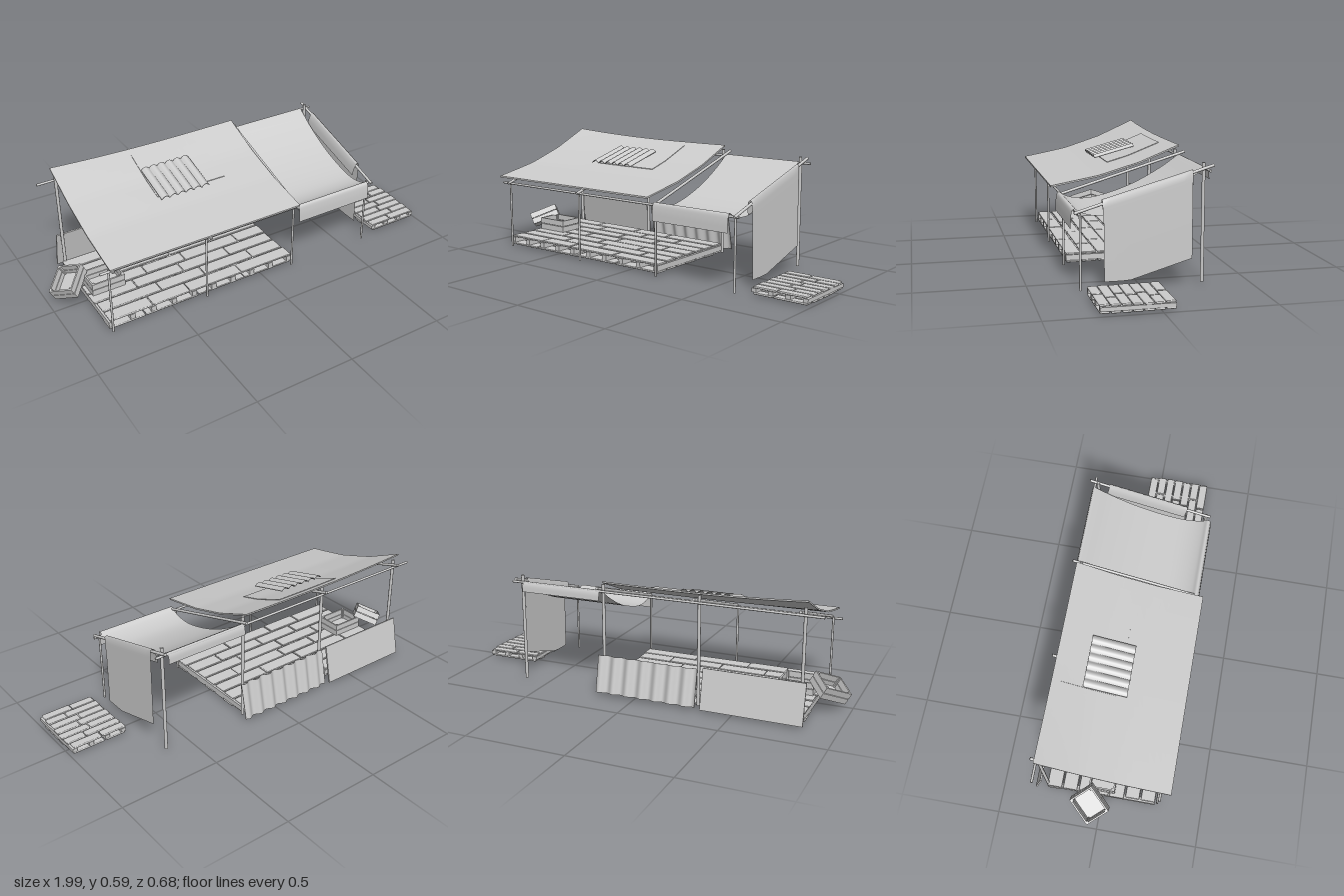
import * as THREE from 'three';
import { RoundedBoxGeometry } from 'three/addons/geometries/RoundedBoxGeometry.js';

const mat = new THREE.MeshStandardMaterial({ color: 0xcccccc, side: THREE.DoubleSide });

function add(parent, name, geo, x = 0, y = 0, z = 0) {
  const m = new THREE.Mesh(geo, mat);
  m.name = name;
  m.position.set(x, y, z);
  parent.add(m);
  return m;
}

function group(parent, name) {
  const g = new THREE.Group();
  g.name = name;
  parent.add(g);
  return g;
}

// round pole between two points
function pole(parent, name, a, b, r) {
  const p = new THREE.Vector3(...a), q = new THREE.Vector3(...b);
  const dir = q.clone().sub(p);
  const m = add(parent, name, new THREE.CylinderGeometry(r, r, dir.length(), 10));
  m.position.copy(p.add(q).multiplyScalar(0.5));
  m.quaternion.setFromUnitVectors(new THREE.Vector3(0, 1, 0), dir.normalize());
}

// thin slab in x-z whose vertices are moved by rule(v)
function slab(w, t, d, nx, nz, rule) {
  const geo = new THREE.BoxGeometry(w, t, d, nx, 1, nz);
  const pos = geo.attributes.position, v = new THREE.Vector3();
  for (let i = 0; i < pos.count; i++) {
    rule(v.fromBufferAttribute(pos, i));
    pos.setXYZ(i, v.x, v.y, v.z);
  }
  geo.computeVertexNormals();
  return geo;
}

// cloth swept along x from a profile of [z, y] points
function cloth(points, width) {
  const curve = new THREE.CatmullRomCurve3(points.map(([z, y]) => new THREE.Vector3(0, y, z)), false, 'centripetal');
  const path = curve.getPoints(48);
  const geo = new THREE.PlaneGeometry(width, 1, 1, 48);
  const pos = geo.attributes.position;
  for (let i = 0; i < pos.count; i++) {
    const p = path[Math.floor(i / 2)];
    pos.setXYZ(i, pos.getX(i), p.y, p.z);
  }
  geo.computeVertexNormals();
  return geo;
}

let seed = 7;
const rand = () => (seed = (seed * 16807) % 2147483647) / 2147483647;

// pallet: staggered boards along x above and below bearers along z
function pallet(parent, name, x0, x1, z0, z1, levels, rows, pieces, bearers) {
  const g = group(parent, name);
  const [bottom, bearerLow, bearerHigh, top] = levels;
  const pitch = (z1 - z0) / rows;
  for (const y of [bottom, top]) {
    for (let r = 0; r < rows; r++) {
      const cuts = [x0 + rand() * 0.012];
      for (let k = 1; k < pieces; k++) {
        const shift = (r % 2 ? 0.25 : -0.2) + (rand() - 0.5) * 0.3;
        cuts.push(x0 + ((x1 - x0) * (k + shift)) / pieces);
      }
      cuts.push(x1 - rand() * 0.012);
      for (let k = 0; k < pieces; k++) {
        const len = cuts[k + 1] - cuts[k] - 0.005;
        const geo = new RoundedBoxGeometry(len, 0.01, pitch * (0.87 + rand() * 0.07), 1, 0.004);
        add(g, 'plank', geo, (cuts[k] + cuts[k + 1]) / 2, y + (rand() - 0.5) * 0.002, z0 + (r + 0.5) * pitch);
      }
    }
  }
  for (let i = 0; i < bearers; i++) {
    const x = x0 + 0.018 + ((x1 - x0 - 0.036) * i) / (bearers - 1);
    const geo = new THREE.BoxGeometry(0.025, bearerHigh - bearerLow, z1 - z0 - 0.006);
    add(g, 'bearer', geo, x, (bearerLow + bearerHigh) / 2, (z0 + z1) / 2);
  }
}

// open crate with two slats on each side
function crate(parent, name, w, h, d) {
  const g = group(parent, name), t = 0.008;
  add(g, 'crateFloor', new THREE.BoxGeometry(w - t, t, d - t), 0, -h / 2 + t / 2, 0);
  for (const s of [-1, 1]) {
    for (const row of [-1, 1]) {
      const y = (row * h) / 4, sh = h / 2 - 0.003;
      add(g, 'crateSlat', new THREE.BoxGeometry(w, sh, t), 0, y, s * (d - t) / 2);
      add(g, 'crateSlat', new THREE.BoxGeometry(t, sh, d - 2 * t), s * (w - t) / 2, y, 0);
    }
    for (const e of [-1, 1]) {
      add(g, 'cratePost', new THREE.BoxGeometry(t, h, t), s * (w / 2 - 1.5 * t), 0, e * (d / 2 - 1.5 * t));
    }
  }
  return g;
}

// main roof height by depth
const roofLine = [[0.335, 0.388], [0.1, 0.43], [-0.1, 0.487], [-0.3, 0.565]];
function roofY(x, z) {
  let i = 0;
  while (i < 2 && z < roofLine[i + 1][0]) i++;
  const [za, ya] = roofLine[i], [zb, yb] = roofLine[i + 1];
  const u = x < -0.2 ? (x + 0.2) / 0.635 : (x + 0.2) / 0.6;
  const back = (0.335 - z) / 0.635;
  return ya + ((yb - ya) * (z - za)) / (zb - za) + u * u * back * back * (x < -0.2 ? 0.021 : 0.007);
}

export function createModel() {
  const model = new THREE.Group();
  model.name = 'shelter';

  // pole frame
  const frame = group(model, 'frame');
  for (const x of [-0.82, -0.32, 0.175, 0.625]) {
    pole(frame, 'frontPost', [x, 0, 0.276], [x, 0.355, 0.276], 0.0055);
    pole(frame, 'backPost', [x, 0.01, -0.28], [x, 0.552, -0.28], 0.008);
    pole(frame, 'rafter', [x + 0.012, 0.35, 0.305], [x + 0.012, 0.541, -0.325], 0.007);
  }
  pole(frame, 'frontBeam', [-0.865, 0.348, 0.285], [0.65, 0.348, 0.285], 0.006);
  pole(frame, 'backBeam', [-0.91, 0.52, -0.298], [0.67, 0.52, -0.298], 0.006);

  // main roof sheet
  add(model, 'mainRoof', slab(1.005, 0.008, 0.635, 16, 19, (v) => {
    v.x -= 0.3325;
    v.z += 0.0175;
    v.y += roofY(v.x, v.z);
  }));

  // flat patch and batten lying on the roof
  add(model, 'roofPatch', slab(0.37, 0.004, 0.27, 6, 8, (v) => {
    v.x -= 0.245;
    v.z -= 0.125;
    v.y += roofY(v.x, v.z) + 0.005;
  }));

  // corrugated patch raised above the roof
  add(model, 'corrugatedRoofPatch', slab(0.26, 0.003, 0.21, 72, 1, (v) => {
    const wave = Math.abs(Math.sin(((v.x + 0.13) / 0.26) * Math.PI * 6));
    v.y += 0.496 - v.z * 0.265 + wave * 0.013;
    v.x -= 0.3;
    v.z -= 0.05;
  }));

  // sagging side canopy with hanging flaps
  add(model, 'sideCanopy', cloth([
    [0.316, 0.277], [0.313, 0.33], [0.306, 0.36], [0.295, 0.364], [0.275, 0.35], [0.23, 0.335],
    [0.165, 0.33], [0.06, 0.35], [-0.08, 0.4], [-0.21, 0.47], [-0.275, 0.514], [-0.298, 0.526],
    [-0.308, 0.51], [-0.312, 0.475],
  ], 0.425), 0.397);

  // side curtain draped over the end rafter
  const drape = [[0.62, -1], [0.622, -0.5], [0.628, 0], [0.638, 0.008], [0.648, 0]];
  const curtain = new THREE.PlaneGeometry(1, 1, 10, 16);
  const cp = curtain.attributes.position;
  for (let i = 0; i < cp.count; i++) {
    const u = cp.getX(i) + 0.5, row = Math.round((0.5 - cp.getY(i)) * 16);
    const topZ = 0.182 - 0.407 * u, topY = 0.4 + 0.117 * u;
    if (row < 5) {
      const [x, k] = drape[row];
      cp.setXYZ(i, x, topY + (k < 0 ? k * 0.065 : k), topZ - (k < 0 ? 0.012 * -k : 0));
    } else {
      const f = (row - 4) / 12;
      const bottomY = 0.042 + 0.085 * Math.max(0, (u - 0.28) / 0.72);
      const spread = Math.min(1, f * 3);
      cp.setXYZ(i, 0.649 + 0.004 * f, topY + (bottomY - topY) * f, topZ + (0.5 - u) * -0.014 * spread - 0.007 * u * spread);
    }
  }
  curtain.computeVertexNormals();
  add(model, 'sideCurtain', curtain);

  // decks
  pallet(model, 'mainDeck', -0.84, 0.182, -0.283, 0.268, [0.015, 0.021, 0.048, 0.054], 7, 4, 10);
  pallet(model, 'loosePallet', 0.7, 0.995, -0.06, 0.266, [0.013, 0.018, 0.036, 0.041], 7, 2, 4);

  // leaning back panels
  const lean = Math.PI / 2 + 0.2;
  const flat = add(model, 'flatBackPanel', new THREE.BoxGeometry(0.495, 0.008, 0.2), -0.597, 0.11, -0.318);
  flat.rotation.x = lean;
  const wavy = add(model, 'corrugatedBackPanel', slab(0.52, 0.003, 0.185, 84, 1, (v) => {
    v.y += 0.01 * Math.sin(((v.x + 0.26) / 0.52) * Math.PI * 14);
  }), -0.062, 0.108, -0.318);
  wavy.rotation.x = lean;

  // crates
  crate(model, 'deckCrate', 0.17, 0.065, 0.13).position.set(-0.735, 0.092, -0.005);
  const tipped = crate(model, 'tippedCrate', 0.15, 0.065, 0.13);
  tipped.position.set(-0.897, 0.108, -0.05);
  tipped.rotation.set(0, 0.75, 0.5, 'ZYX');

  return model;
}
